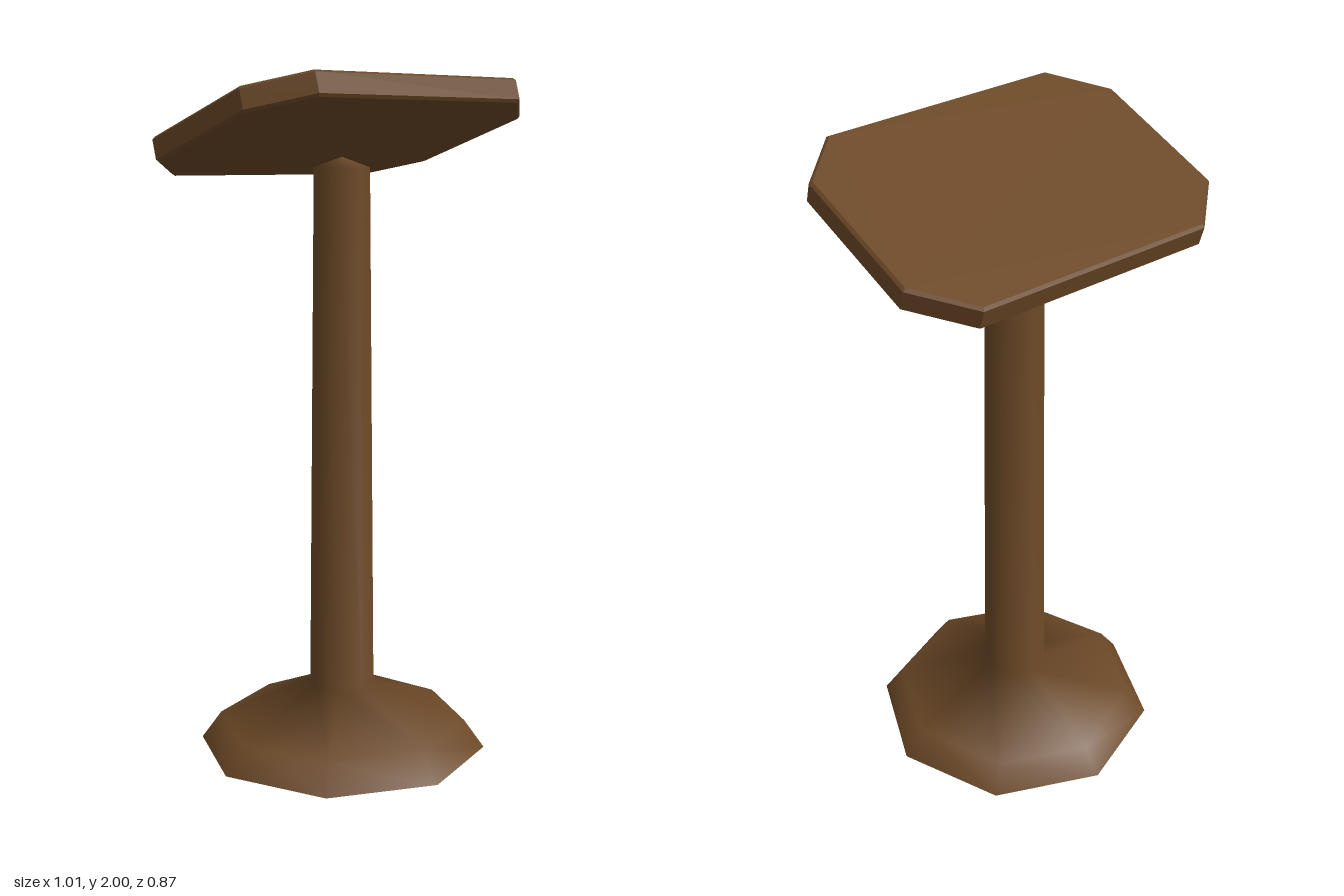
import * as THREE from 'three';

const wood = new THREE.MeshStandardMaterial({ color: 0x6b4826, side: THREE.DoubleSide });
wood.name = 'brownWood';

export function createModel() {
  const group = new THREE.Group();
  group.name = 'pedestalStand';

  // Eight-sided post flaring into a hollow foot, corners on the axes
  const profile = [
    [0.435, 0], [0.375, 0.083], [0.097, 0.2], [0.082, 1.747], [0, 1.777],
  ].map(([r, y]) => new THREE.Vector2(r, y));
  const post = new THREE.Mesh(new THREE.LatheGeometry(profile, 8), wood);
  post.name = 'postAndFoot';
  group.add(post);

  // Board with cut corners and a small bevel
  const bevel = 0.008, thickness = 0.073;
  const w = 0.505 - bevel, d = 0.362 - bevel, cx = 0.36, cz = 0.215;
  const outline = new THREE.Shape([
    [cx, -d], [w, -cz], [w, cz], [cx, d], [-cx, d], [-w, cz], [-w, -cz], [-cx, -d],
  ].map(([x, y]) => new THREE.Vector2(x, y)));
  const boardGeometry = new THREE.ExtrudeGeometry(outline, {
    depth: thickness - 2 * bevel,
    bevelEnabled: true, bevelSize: bevel, bevelThickness: bevel, bevelSegments: 1,
  });
  boardGeometry.center().rotateX(-Math.PI / 2);

  // The board floats just above the post, its front edge raised
  const board = new THREE.Mesh(boardGeometry, wood);
  board.name = 'tiltedBoard';
  board.position.y = 1.86;
  board.rotation.x = -0.295;
  group.add(board);

  return group;
}
